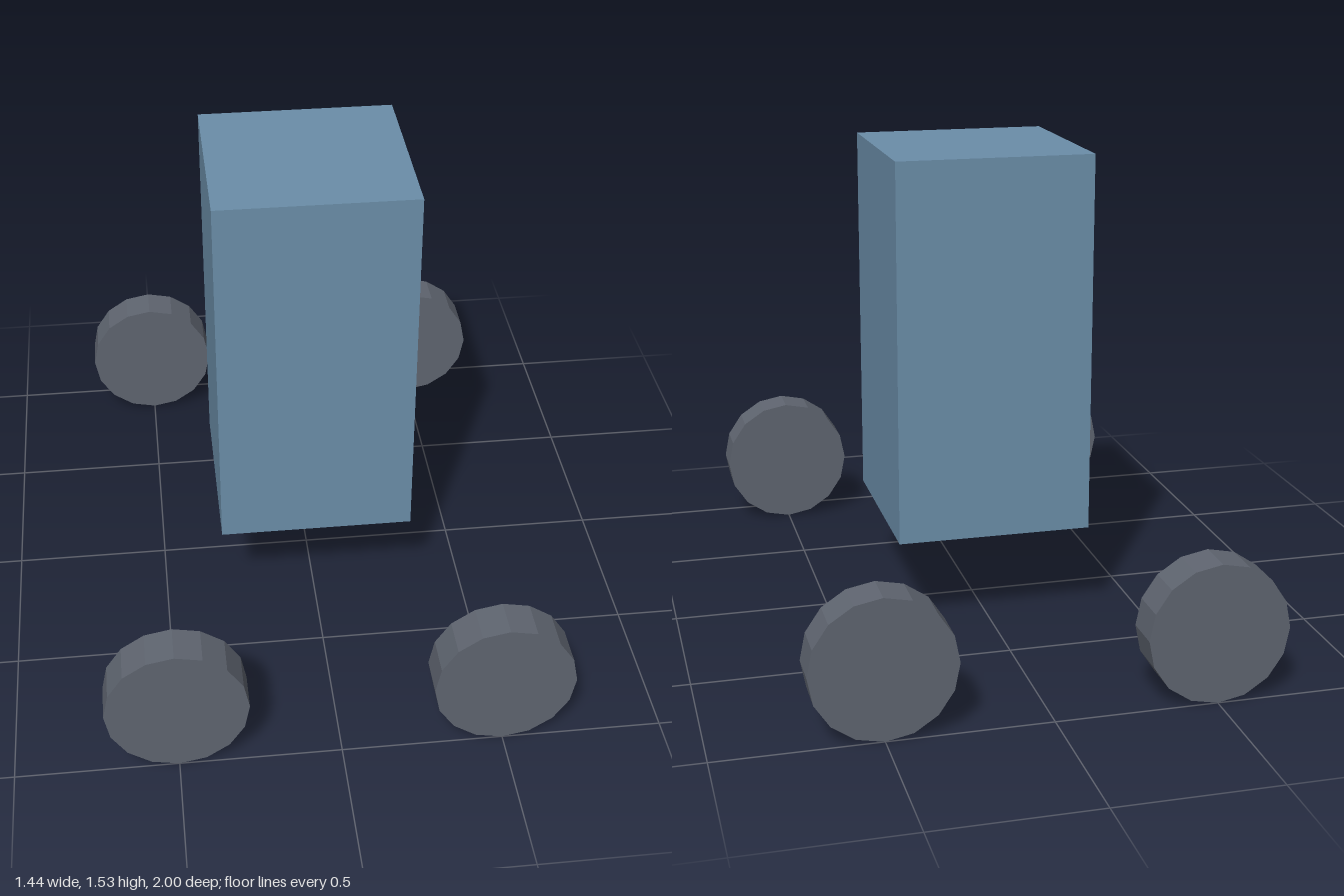
import * as THREE from 'three';

export function createModel() {
  const model = new THREE.Group();
  const blue = new THREE.MeshStandardMaterial({ color: 0x6b8ea9 });
  const dark = new THREE.MeshStandardMaterial({ color: 0x5f6570, flatShading: true });

  // Tall square body, floating between the wheels
  const bottom = 0.315, top = 1.532, width = 0.625;
  const body = new THREE.Mesh(new THREE.BoxGeometry(width, top - bottom, width), blue);
  body.name = 'body';
  body.position.y = (top + bottom) / 2;
  model.add(body);

  // Four sixteen-sided wheels with their axles along z
  const radius = 0.219, thickness = 0.125;
  const wheelGeometry = new THREE.CylinderGeometry(radius, radius, thickness, 16).rotateX(Math.PI / 2);
  for (const [end, z] of [['front', 1], ['back', -1]]) {
    for (const [side, x] of [['Left', 1], ['Right', -1]]) {
      const wheel = new THREE.Mesh(wheelGeometry, dark);
      wheel.name = `${end}${side}Wheel`;
      wheel.position.set(x * 0.5, radius, z * (1 - thickness / 2));
      model.add(wheel);
    }
  }
  return model;
}
